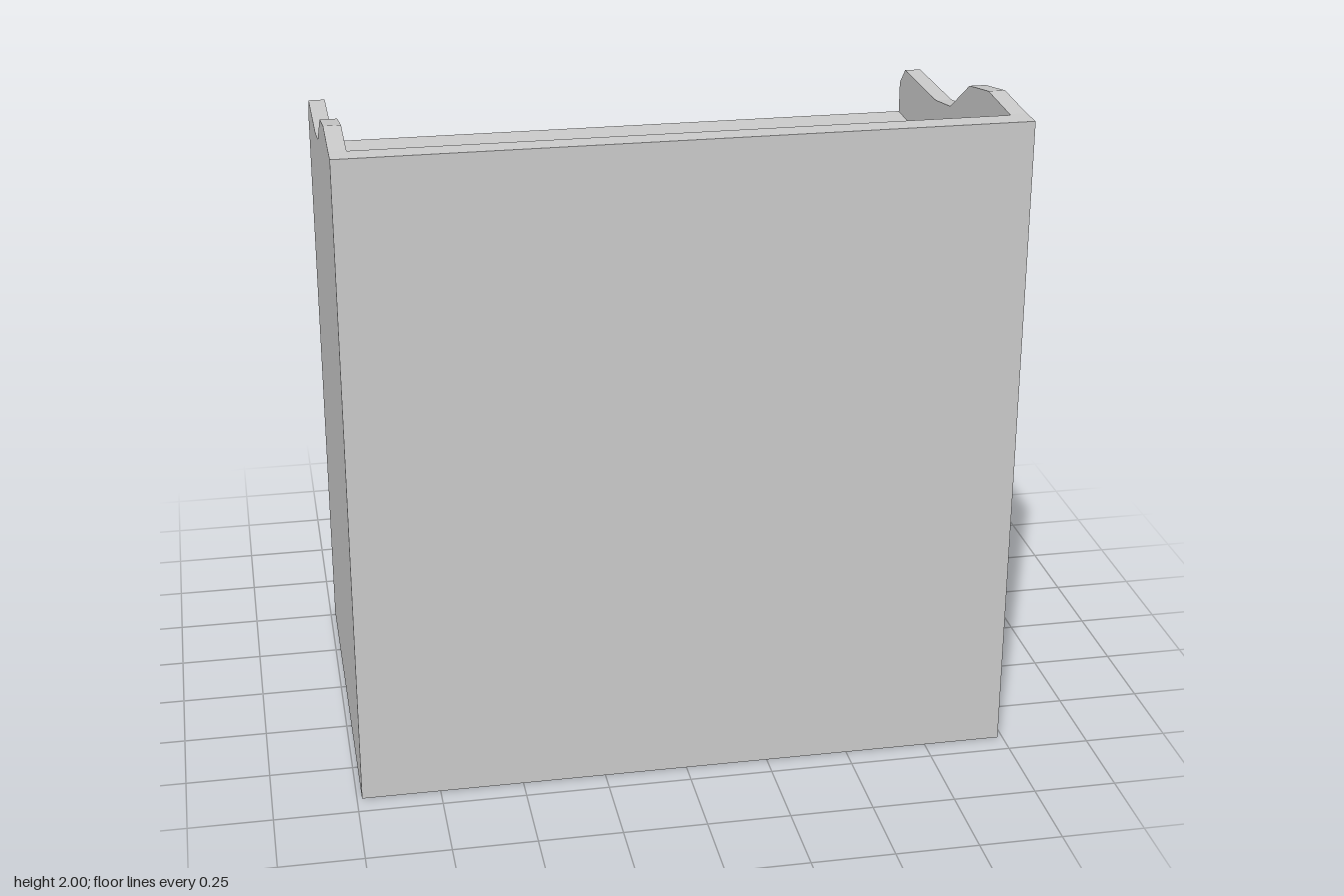
import * as THREE from 'three';

export function createModel() {
  const model = new THREE.Group();
  const material = new THREE.MeshStandardMaterial({ color: 0xcccccc });
  const faceted = new THREE.MeshStandardMaterial({ color: 0xcccccc, flatShading: true });

  const add = (name, geometry, mat = material, parent = model) => {
    const mesh = new THREE.Mesh(geometry, mat);
    mesh.name = name;
    parent.add(mesh);
    return mesh;
  };
  // Box given by its minimum and maximum corners
  const box = (name, x0, x1, y0, y1, z0, z1, parent) => {
    const mesh = add(name, new THREE.BoxGeometry(x1 - x0, y1 - y0, z1 - z0), material, parent);
    mesh.position.set((x0 + x1) / 2, (y0 + y1) / 2, (z0 + z1) / 2);
    return mesh;
  };

  const outer = 0.985, inner = 0.935;
  const front = -0.52, deckY = 1.67, floorY = 0.13;

  // Side panels with a curved top edge, profile in (z, y)
  const profile = [
    [0.68, 0], [0.68, 1.99], [0.6, 1.99], [0.4, 2], [0.22, 1.965], [0.04, 1.85],
    [-0.11, 1.825], [-0.46, 1.825], [-0.515, 1.77], [-0.515, 0],
  ].map(([z, y]) => new THREE.Vector2(z, y));
  const sideGeometry = new THREE.ExtrudeGeometry(new THREE.Shape(profile), {
    depth: outer - inner, bevelEnabled: false,
  }).rotateY(-Math.PI / 2);
  add('leftSidePanel', sideGeometry).position.x = outer;
  add('rightSidePanel', sideGeometry).position.x = -inner;

  // Tall panel closing the cabinet behind the deck
  box('tallPanel', -inner, inner, 0, 1.99, 0.61, 0.68);

  // Cabinet body, its top forming the deck
  box('cabinetBody', -inner, inner, floorY, deckY, front + 0.03, 0.61);

  // Face frame with three drawer openings
  const rect = (target, x, y0, y1) => {
    target.moveTo(-x, y0);
    target.lineTo(x, y0);
    target.lineTo(x, y1);
    target.lineTo(-x, y1);
    target.closePath();
    return target;
  };
  const frame = rect(new THREE.Shape(), inner, floorY, deckY);
  const drawerCentres = [1.37, 0.86, 0.355];
  const half = 0.21, openingX = 0.9, gap = 0.011;
  for (const y of drawerCentres) {
    frame.holes.push(rect(new THREE.Path(), openingX, y - half, y + half));
  }
  add('faceFrame', new THREE.ExtrudeGeometry(frame, { depth: 0.03, bevelEnabled: false }))
    .position.z = front;

  // Knob: rounded base plate, neck and ball, turned to point along -z
  const knobProfile = [
    [0, 0], [0.1, 0], [0.112, 0.01], [0.114, 0.02], [0.111, 0.032], [0.1, 0.041], [0.062, 0.043],
  ].map(([r, h]) => new THREE.Vector2(r, h));
  for (let i = 0; i <= 9; i++) {
    const a = -0.5 + (i / 9) * (Math.PI / 2 + 0.5);
    knobProfile.push(new THREE.Vector2(0.081 * Math.cos(a), 0.068 + 0.081 * Math.sin(a)));
  }
  const knobGeometry = new THREE.LatheGeometry(knobProfile, 20).rotateX(-Math.PI / 2);

  // Drawers, each standing slightly further out than the one above
  drawerCentres.forEach((y, i) => {
    const drawer = new THREE.Group();
    drawer.name = 'drawer' + (i + 1);
    model.add(drawer);
    const face = front - 0.001 - 0.003 * i;
    box('drawerFront', -openingX + gap, openingX - gap, y - half + gap / 2, y + half - gap,
      face, front + 0.03, drawer);
    add('knob', knobGeometry, faceted, drawer).position.set(-0.013, y + 0.008, face + 0.005 - 0.002 * i);
  });

  return model;
}
